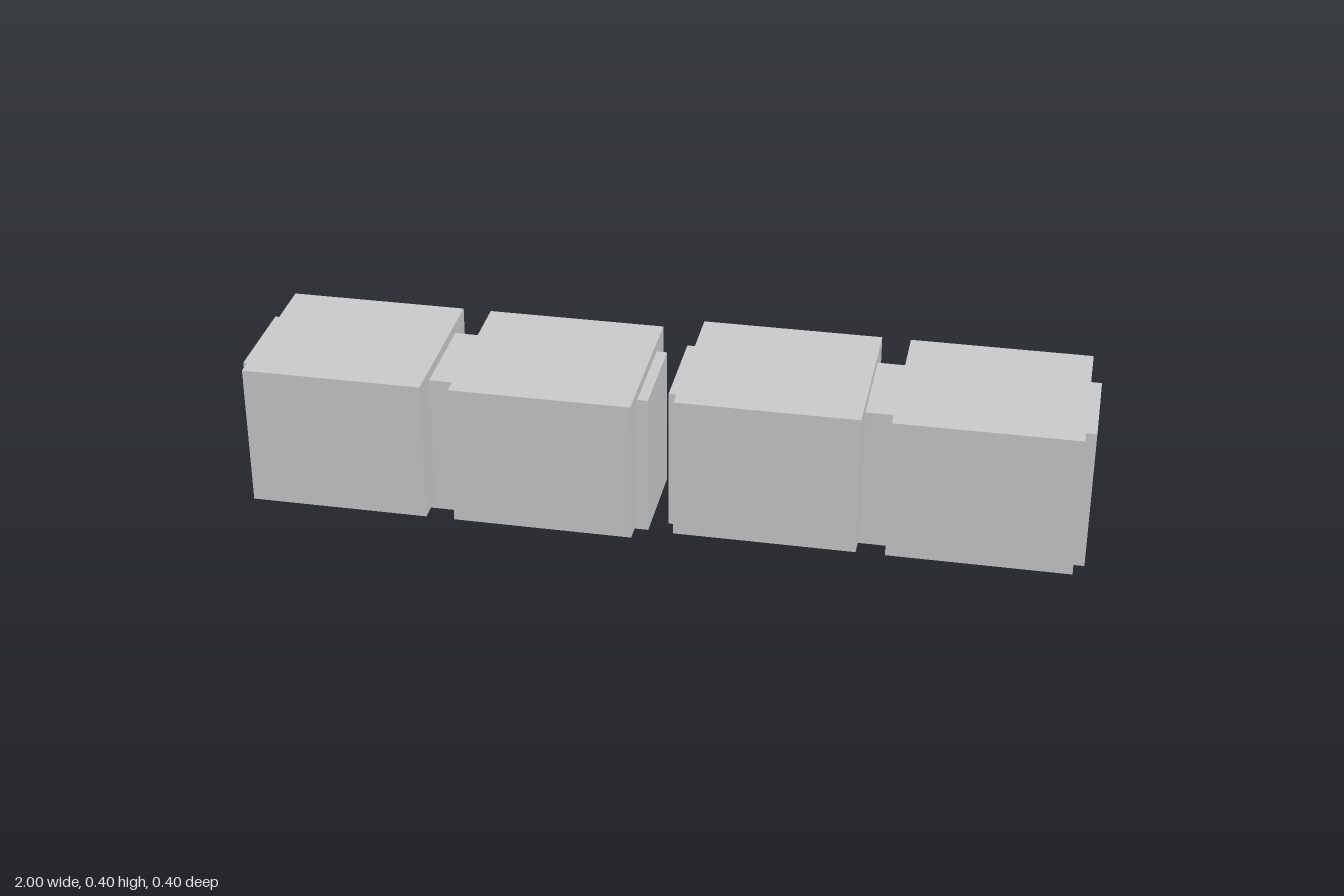
import * as THREE from 'three';

const material = new THREE.MeshStandardMaterial({ color: 0xcccccc, flatShading: true });

// Box given by its extents along each axis
function box(name, x0, x1, y0, y1, z0, z1) {
  const mesh = new THREE.Mesh(new THREE.BoxGeometry(x1 - x0, y1 - y0, z1 - z0), material);
  mesh.name = name;
  mesh.position.set((x0 + x1) / 2, (y0 + y1) / 2, (z0 + z1) / 2);
  return mesh;
}

// A narrow core bar carrying two wide blocks set slightly above its base
function createUnit(name) {
  const unit = new THREE.Group();
  unit.name = name;
  unit.add(box('coreBar', 0, 0.975, 0, 0.352, -0.117, 0.121));
  for (const x of [0.026, 0.522]) {
    unit.add(box('block', x, x + 0.428, 0.025, 0.376, -0.2, 0.2));
  }
  return unit;
}

export function createModel() {
  const model = new THREE.Group();
  model.name = 'blockRow';
  // Two units end to end, the left one a small step higher
  const right = createUnit('rightUnit');
  right.position.set(-1, 0, 0);
  const left = createUnit('leftUnit');
  left.position.set(0.024, 0.024, 0);
  model.add(right, left);
  return model;
}
